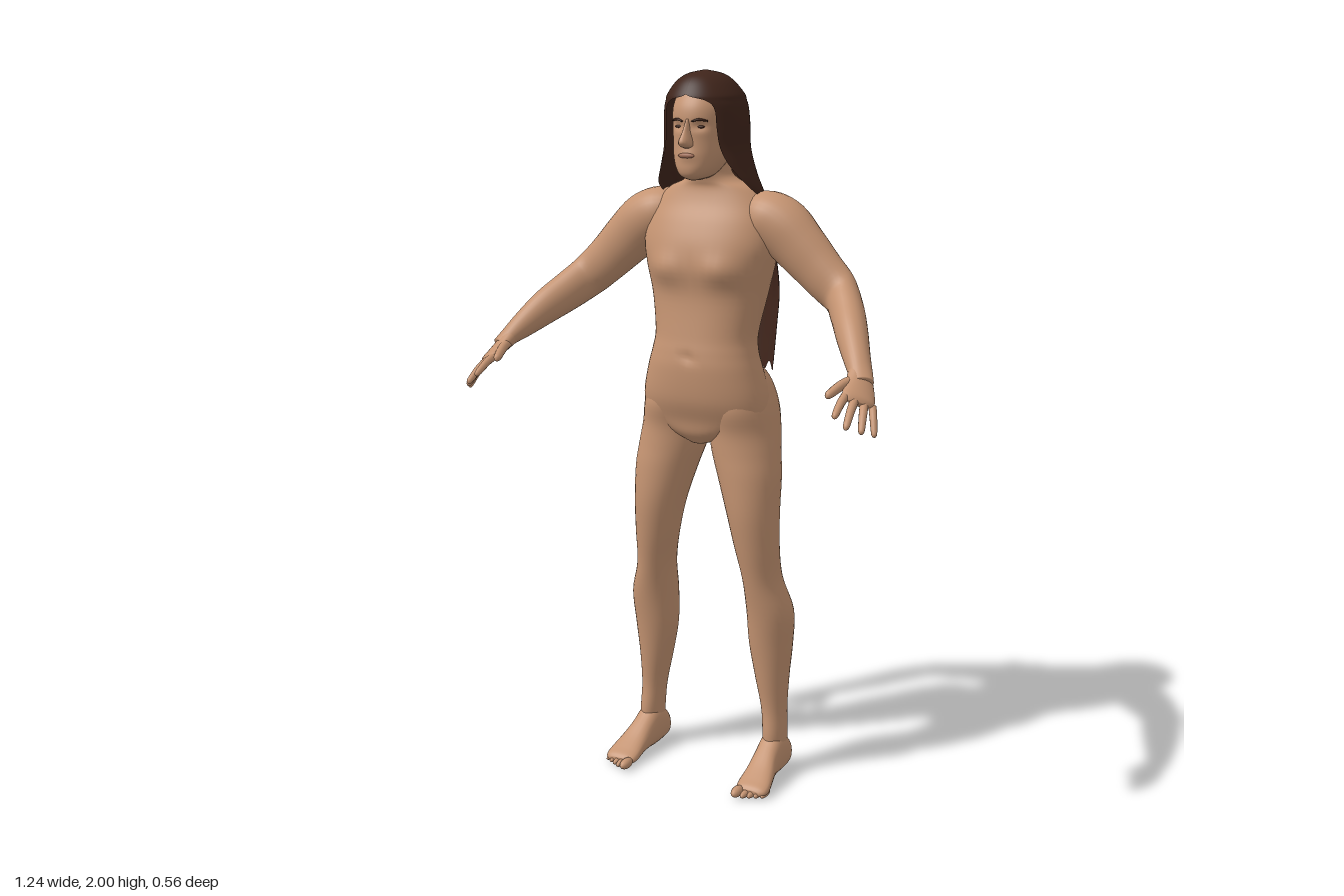
import * as THREE from 'three';

const V = (x, y, z) => new THREE.Vector3(x, y, z);
const skin = new THREE.MeshStandardMaterial({ color: 0xc59472, name: 'skin' });
const hairMat = new THREE.MeshStandardMaterial({ color: 0x40251b, name: 'hair brown', side: THREE.DoubleSide });
const lipMat = new THREE.MeshStandardMaterial({ color: 0xa36f58, name: 'lip' });

// Smoothly subdivide a list of numeric rows
function smooth(rows, steps) {
  const out = [], last = rows.length - 1;
  for (let i = 0; i < last; i++) {
    const [a, b, c, d] = [rows[Math.max(i - 1, 0)], rows[i], rows[i + 1], rows[Math.min(i + 2, last)]];
    for (let s = 0; s < steps; s++) {
      const t = s / steps;
      out.push(b.map((p, k) => p + 0.5 * t * (c[k] - a[k] + t * (2 * a[k] - 5 * p + 4 * c[k] - d[k]
        + t * (3 * (p - c[k]) + d[k] - a[k])))));
    }
  }
  out.push(rows[last]);
  return out;
}

// Skin a closed surface over elliptical frames {p, u, v}, running along u x v
function loft(frames, n = 28, power = 1) {
  const pos = [], idx = [];
  const sp = (t) => Math.sign(t) * Math.abs(t) ** power;
  frames.forEach(({ p, u, v }) => {
    for (let j = 0; j < n; j++) {
      const a = (j / n) * Math.PI * 2;
      const q = p.clone().addScaledVector(u, sp(Math.cos(a))).addScaledVector(v, sp(Math.sin(a)));
      pos.push(q.x, q.y, q.z);
    }
  });
  const m = frames.length, end = (m - 1) * n;
  for (let i = 0; i < m - 1; i++) for (let j = 0; j < n; j++) {
    const a = i * n + j, b = i * n + (j + 1) % n;
    idx.push(a, b, a + n, b, b + n, a + n);
  }
  pos.push(...frames[0].p.toArray(), ...frames[m - 1].p.toArray());
  for (let j = 0; j < n; j++) {
    const k = (j + 1) % n;
    idx.push(m * n, k, j, m * n + 1, end + j, end + k);
  }
  return finish(pos, idx);
}

function finish(pos, idx) {
  const g = new THREE.BufferGeometry();
  g.setAttribute('position', new THREE.Float32BufferAttribute(pos, 3));
  g.setIndex(idx);
  g.computeVertexNormals();
  return g;
}

// Rows from top to bottom: [y, centre x, half width, front z, back z]
const stack = (rows, n, power, steps = 5) => loft(smooth(rows, steps).map(([y, x, r, f, b]) =>
  ({ p: V(x, y, (f + b) / 2), u: V(r, 0, 0), v: V(0, 0, (f - b) / 2) })), n, power);

// Rows from back to front: [z, centre x, half width, top y, bottom y]
const stackZ = (rows, n, power) => loft(smooth(rows, 5).map(([z, x, r, t, b]) =>
  ({ p: V(x, (t + b) / 2, z), u: V(r, 0, 0), v: V(0, (t - b) / 2, 0) })), n, power);

// Limb rows: [x, y, z, radius along hint, radius across]
function limb(rows, hint, n, steps = 5) {
  const pts = smooth(rows, steps), at = (i) => V(...pts[Math.min(Math.max(i, 0), pts.length - 1)].slice(0, 3));
  return loft(pts.map((r, i) => {
    const d = at(i + 1).sub(at(i - 1)).normalize();
    const u = hint.clone().addScaledVector(d, -hint.dot(d)).normalize();
    return { p: at(i), u: u.clone().multiplyScalar(r[3]), v: d.clone().cross(u).multiplyScalar(r[4]) };
  }), n);
}

// Push the front (side 1) or back (side -1) in or out around a mirrored pair of points
function bump(g, side, x, y, sx, sy, amount) {
  const p = g.attributes.position, nor = g.attributes.normal.clone();
  for (let i = 0; i < p.count; i++) {
    const facing = Math.max(0, nor.getZ(i) * side);
    const dx = (Math.abs(p.getX(i)) - x) / sx, dy = (p.getY(i) - y) / sy;
    p.setZ(i, p.getZ(i) + side * amount * Math.sqrt(facing) * Math.exp(-dx * dx - dy * dy));
  }
  g.computeVertexNormals();
}

function mirrored(geo) {
  const g = geo.clone().scale(-1, 1, 1), a = g.index.array;
  for (let i = 0; i < a.length; i += 3) [a[i], a[i + 1]] = [a[i + 1], a[i]];
  g.computeVertexNormals();
  return g;
}

function ball(x, y, z, rx, ry, rz) {
  return new THREE.SphereGeometry(1, 16, 10).scale(rx, ry, rz).translate(x, y, z);
}

// Long hair: a sheet wrapped round the back of the head and down the back
function hairSheet() {
  // [y, half angle from the back, half width, centre z, back depth, front depth]
  const rows = smooth([
    [2.0, 180, 0.004, -0.06, 0.004, 0.004], [1.99, 180, 0.045, -0.06, 0.06, 0.055],
    [1.97, 180, 0.075, -0.06, 0.09, 0.085], [1.938, 180, 0.1, -0.065, 0.113, 0.112],
    [1.922, 150, 0.105, -0.066, 0.118, 0.117], [1.9, 140, 0.111, -0.067, 0.122, 0.117],
    [1.85, 139, 0.115, -0.068, 0.126, 0.113], [1.8, 135, 0.116, -0.068, 0.129, 0.11],
    [1.75, 125, 0.128, -0.07, 0.135, 0.11], [1.7, 110, 0.145, -0.08, 0.135, 0.1],
    [1.66, 97, 0.146, -0.125, 0.097, 0.1], [1.6, 90, 0.142, -0.17, 0.065, 0.1],
    [1.5, 90, 0.146, -0.2, 0.06, 0.1], [1.4, 90, 0.15, -0.217, 0.056, 0.1],
    [1.3, 90, 0.143, -0.218, 0.054, 0.1], [1.18, 90, 0.132, -0.22, 0.046, 0.1]], 5);
  const n = 96, pos = [], idx = [];
  rows.forEach(([y, deg, rx, cz, back, front], i) => {
    const half = Math.min(deg, 180) * Math.PI / 180, down = Math.min(1, Math.max(0, (1.95 - y) / 0.5));
    for (let j = 0; j <= n; j++) {
      const t = (j / n) * 2 - 1, a = t * half;
      const lock = Math.abs(Math.sin(t * 11 + 0.6 * Math.sin(t * 5))) - 0.5;
      const k = 1 + 0.14 * down * lock, c = Math.cos(a);
      const drop = i === rows.length - 1 ? 0.012 * Math.sin(t * 23) : 0;
      pos.push(rx * Math.sin(a), y + drop, cz - c * (c > 0 ? back * k : front));
    }
  });
  for (let i = 0; i < rows.length - 1; i++) for (let j = 0; j < n; j++) {
    const a = i * (n + 1) + j, b = a + n + 1;
    idx.push(a, a + 1, b, a + 1, b + 1, b);
  }
  return finish(pos, idx);
}

export function createModel() {
  const model = new THREE.Group();
  model.name = 'figure';
  const add = (name, geo, mat = skin) => {
    const m = new THREE.Mesh(geo, mat);
    m.name = name;
    model.add(m);
  };
  const pair = (name, geo, mat) => {
    add('left ' + name, geo, mat);
    add('right ' + name, mirrored(geo), mat);
  };

  // Torso and neck
  const torso = stack([
    [1.79, 0, 0.05, -0.02, -0.14], [1.735, 0, 0.056, -0.028, -0.15], [1.71, 0, 0.078, -0.035, -0.165],
    [1.69, 0, 0.125, -0.038, -0.175], [1.65, 0, 0.165, -0.025, -0.195], [1.6, 0, 0.188, 0, -0.208],
    [1.54, 0, 0.195, 0.022, -0.216], [1.48, 0, 0.184, 0.028, -0.216], [1.4, 0, 0.166, 0.022, -0.203],
    [1.3, 0, 0.148, 0.034, -0.18], [1.25, 0, 0.153, 0.043, -0.172], [1.2, 0, 0.167, 0.048, -0.178],
    [1.12, 0, 0.186, 0.042, -0.188], [1.06, 0, 0.178, 0.022, -0.175], [1.02, 0, 0.11, 0.012, -0.15],
    [0.99, 0, 0.03, -0.01, -0.1]], 48, 0.9);
  bump(torso, 1, 0.085, 1.475, 0.055, 0.04, 0.017);
  bump(torso, 1, 0, 1.24, 0.012, 0.014, -0.008);
  bump(torso, -1, 0, 1.4, 0.025, 0.2, -0.012);
  add('torso', torso);

  // Legs, with the hips at the top
  pair('leg', stack([
    [1.22, 0.08, 0.05, -0.05, -0.15], [1.17, 0.088, 0.08, 0, -0.203], [1.1, 0.1, 0.092, 0.02, -0.226],
    [1.03, 0.106, 0.099, 0.008, -0.213], [0.97, 0.116, 0.098, 0.008, -0.188], [0.9, 0.132, 0.09, 0.012, -0.172],
    [0.8, 0.148, 0.074, 0.012, -0.155], [0.7, 0.16, 0.062, 0, -0.147], [0.6, 0.172, 0.054, -0.018, -0.158],
    [0.5, 0.188, 0.067, -0.035, -0.18], [0.4, 0.188, 0.063, -0.05, -0.182], [0.3, 0.192, 0.049, -0.062, -0.175],
    [0.2, 0.2, 0.036, -0.072, -0.165], [0.12, 0.205, 0.033, -0.066, -0.165], [0.05, 0.205, 0.03, -0.07, -0.165]], 32));

  // Feet and toes
  pair('foot', stackZ([
    [-0.182, 0.205, 0.01, 0.05, 0.02], [-0.17, 0.205, 0.03, 0.085, 0.004], [-0.13, 0.205, 0.037, 0.12, 0],
    [-0.09, 0.205, 0.038, 0.125, 0], [-0.05, 0.207, 0.038, 0.1, 0.003], [0, 0.212, 0.044, 0.066, 0.004],
    [0.04, 0.215, 0.049, 0.044, 0], [0.065, 0.216, 0.045, 0.032, 0.002], [0.075, 0.216, 0.03, 0.022, 0.008]], 24, 0.85));
  for (let i = 0; i < 5; i++) {
    const r = i === 0 ? 0.015 : 0.0105 - i * 0.0005;
    const x = i === 0 ? 0.183 : 0.188 + i * 0.0165, tip = 0.112 - i * 0.009;
    pair('toe ' + (i + 1), ball(x, r + 0.001, tip - 0.028, r, r, 0.028));
  }

  // Arms
  const up = V(0, 1, 0);
  pair('arm', limb([
    [0.1, 1.62, -0.115, 0.05, 0.05], [0.155, 1.615, -0.115, 0.072, 0.075], [0.21, 1.588, -0.112, 0.08, 0.074],
    [0.27, 1.535, -0.105, 0.074, 0.06], [0.33, 1.478, -0.1, 0.066, 0.051], [0.39, 1.425, -0.088, 0.06, 0.045],
    [0.43, 1.385, -0.042, 0.056, 0.045], [0.47, 1.343, 0.02, 0.049, 0.042], [0.51, 1.295, 0.08, 0.036, 0.035],
    [0.535, 1.265, 0.115, 0.025, 0.031], [0.55, 1.245, 0.14, 0.018, 0.03]], up, 28));

  // Hands: palm, four fingers and thumb
  const across = V(0.06, -0.035, -0.025).normalize();
  pair('palm', limb([
    [0.528, 1.272, 0.105, 0.028, 0.025], [0.542, 1.245, 0.135, 0.036, 0.02], [0.553, 1.222, 0.165, 0.043, 0.017],
    [0.56, 1.21, 0.185, 0.043, 0.014], [0.564, 1.203, 0.195, 0.03, 0.007]], across, 24));
  const digits = {
    'thumb': [[0.527, 1.25, 0.135], [0.495, 1.222, 0.235], 0.014],
    'index finger': [[0.53, 1.227, 0.18], [0.535, 1.182, 0.278], 0.0115],
    'middle finger': [[0.552, 1.214, 0.185], [0.565, 1.156, 0.275], 0.0115],
    'ring finger': [[0.572, 1.202, 0.175], [0.592, 1.14, 0.24], 0.011],
    'little finger': [[0.588, 1.192, 0.16], [0.613, 1.127, 0.205], 0.01],
  };
  for (const [name, [a, b, r]] of Object.entries(digits)) {
    const at = (t, k, lift) => [...V(...a).lerp(V(...b), t).addScaledVector(up, lift).toArray(), r * k, r * k];
    pair(name, limb([at(0, 1, 0), at(0.45, 0.95, 0.006), at(0.85, 0.8, 0.002), at(0.96, 0.55, 0), at(1, 0.1, 0)], across, 12, 3));
  }

  // Head
  const head = stack([
    [1.985, 0, 0.02, -0.04, -0.09], [1.965, 0, 0.058, -0.002, -0.135], [1.91, 0, 0.08, 0.034, -0.17],
    [1.86, 0, 0.08, 0.042, -0.178], [1.82, 0, 0.077, 0.042, -0.168], [1.78, 0, 0.071, 0.044, -0.14],
    [1.745, 0, 0.055, 0.046, -0.1], [1.725, 0, 0.037, 0.038, -0.07], [1.715, 0, 0.012, 0.015, -0.04]], 64, 0.92, 8);
  bump(head, 1, 0.032, 1.856, 0.018, 0.011, -0.01);
  bump(head, 1, 0, 1.78, 0.025, 0.015, 0.005);
  add('head', head);
  add('nose', stack([
    [1.875, 0, 0.006, 0.044, 0.01], [1.845, 0, 0.01, 0.06, 0.01], [1.818, 0, 0.017, 0.077, 0.01],
    [1.806, 0, 0.017, 0.068, 0.01], [1.8, 0, 0.008, 0.05, 0.01]], 16));
  add('lips', ball(0, 1.781, 0.046, 0.024, 0.007, 0.007), lipMat);
  pair('eye', ball(0.032, 1.855, 0.025, 0.012, 0.004, 0.006), hairMat);
  pair('eyebrow', limb([
    [0.014, 1.869, 0.042, 0.002, 0.003], [0.032, 1.874, 0.036, 0.0035, 0.004],
    [0.052, 1.87, 0.022, 0.002, 0.003]], up, 10), hairMat);

  add('long hair', hairSheet(), hairMat);
  return model;
}
